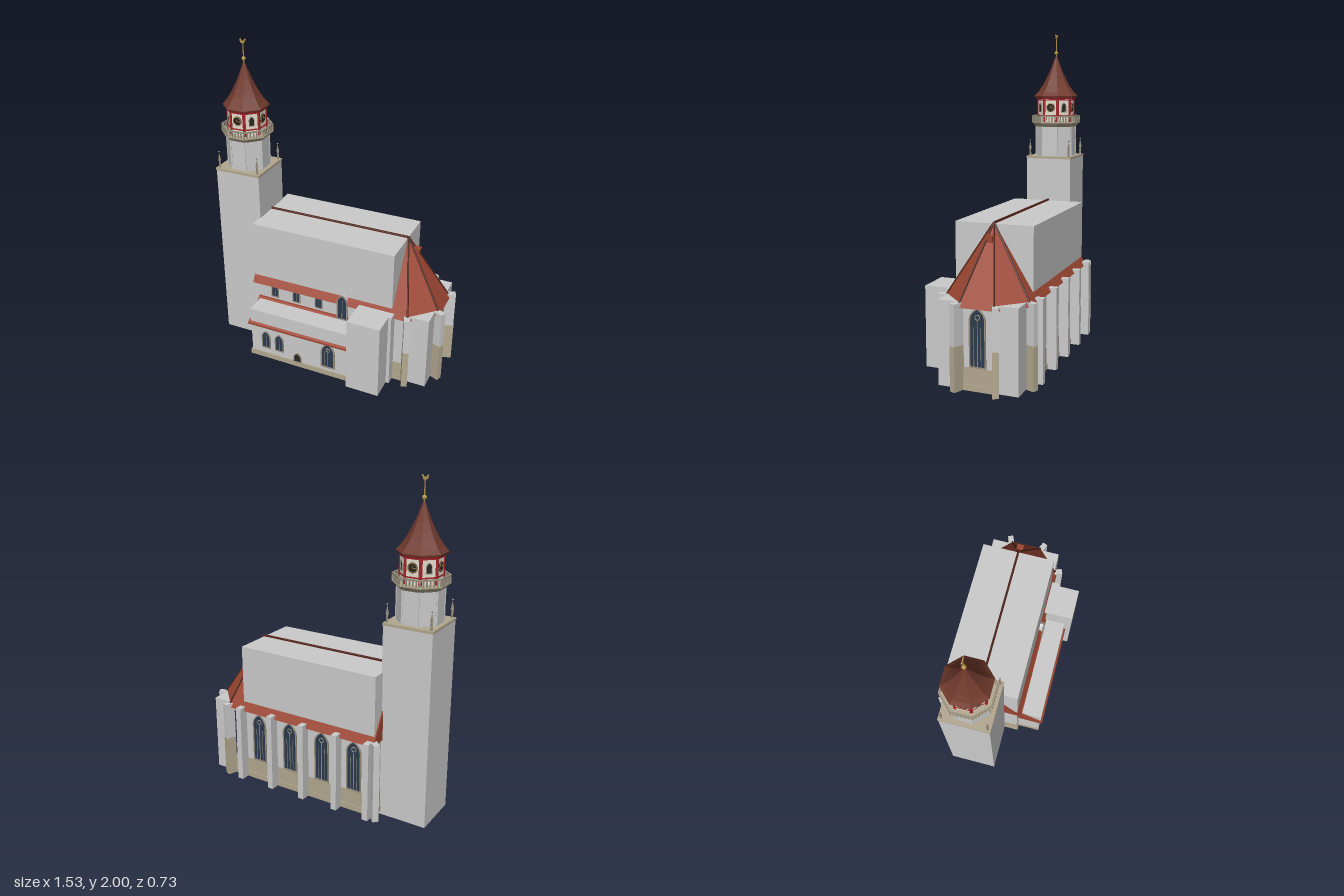
import * as THREE from 'three';

const GREY = 0xcccccc, TAN = 0xb3a890, RED = 0x9c4632, BROWN = 0x4f2219, GLASS = 0x2b3a4e,
  FRAME = 0x98907e, SPIRE = 0x70392c, TRIM = 0xa3262a, CREAM = 0xe6dfd0, GOLD = 0xb8964a, DARK = 0x2a2622;
const ZC = -0.07, TX = -0.616, OCT = Math.cos(Math.PI / 8);

const mats = {};
const mat = (color) => mats[color] ??= new THREE.MeshStandardMaterial({ color, flatShading: true, side: THREE.DoubleSide });

function add(parent, name, geo, color, x = 0, y = 0, z = 0) {
  const m = new THREE.Mesh(geo, mat(color));
  m.name = name;
  m.position.set(x, y, z);
  parent.add(m);
  return m;
}
function group(parent, name, x = 0, y = 0, z = 0, ry = 0) {
  const g = new THREE.Group();
  g.name = name;
  g.position.set(x, y, z);
  g.rotation.y = ry;
  parent.add(g);
  return g;
}
// Box given by its limits
const block = (p, name, color, x0, x1, y0, y1, z0, z1) =>
  add(p, name, new THREE.BoxGeometry(x1 - x0, y1 - y0, z1 - z0), color, (x0 + x1) / 2, (y0 + y1) / 2, (z0 + z1) / 2);

// Prism standing on a ground plan of [x, z] points
function plan(p, name, color, pts, y0, y1) {
  const s = new THREE.Shape(pts.map(([x, z]) => new THREE.Vector2(x, -z)));
  const g = new THREE.ExtrudeGeometry(s, { depth: y1 - y0, bevelEnabled: false }).rotateX(-Math.PI / 2);
  return add(p, name, g, color, 0, y0, 0);
}
// Prism along x with a [z, y] section
function alongX(p, name, color, pts, x0, x1) {
  const s = new THREE.Shape(pts.map(([z, y]) => new THREE.Vector2(-z, y)));
  const g = new THREE.ExtrudeGeometry(s, { depth: x1 - x0, bevelEnabled: false }).rotateY(Math.PI / 2);
  return add(p, name, g, color, x0, 0, 0);
}
// Round bar between two points
function bar(p, name, color, a, b, r) {
  const A = new THREE.Vector3(...a), B = new THREE.Vector3(...b);
  return add(p, name, new THREE.TubeGeometry(new THREE.LineCurve3(A, B), 1, r, 6), color);
}
// Pointed arch outline standing on y = 0
function arch(w, h, Type = THREE.Shape, grow = 0) {
  const a = w / 2 + grow, top = h + grow, spring = h - w * 0.8;
  const s = new Type();
  s.moveTo(-a, -grow);
  s.lineTo(a, -grow);
  s.lineTo(a, spring);
  s.quadraticCurveTo(a, spring + (top - spring) * 0.6, 0, top);
  s.quadraticCurveTo(-a, spring + (top - spring) * 0.6, -a, spring);
  return s;
}
const slab = (s, depth) => new THREE.ExtrudeGeometry(s, { depth, bevelEnabled: false, curveSegments: 6 });

// Gothic window facing its own +z
function gothicWindow(p, name, x, y, z, ry, w, h, tracery = true, pane = GLASS) {
  const g = group(p, name, x, y, z, ry), t = Math.min(0.008, w * 0.12);
  add(g, 'pane', slab(arch(w, h), 0.003), pane);
  const rim = arch(w, h, THREE.Shape, t);
  rim.holes.push(arch(w, h, THREE.Path));
  add(g, 'frame', slab(rim, 0.007), FRAME);
  if (!tracery) return;
  add(g, 'mullion', new THREE.BoxGeometry(w * 0.05, h * 0.8, 0.005), FRAME, 0, h * 0.4, 0.003);
  if (w > 0.065) {
    add(g, 'rose', new THREE.TorusGeometry(w * 0.17, w * 0.035, 4, 12), FRAME, 0, h - w * 0.55, 0.004);
    for (const sx of [-1, 1]) add(g, 'lancet', new THREE.BoxGeometry(w * 0.03, h * 0.68, 0.004), FRAME, sx * w * 0.25, h * 0.34, 0.003);
  }
}

function buildNave(root) {
  const g = group(root, 'nave');
  const outline = (e) => [[-0.47 - e, 0.166 + e], [0.555, 0.166 + e], [0.7 + e, 0.035], [0.7 + e, -0.175], [0.555, -0.305 - e], [-0.47 - e, -0.305 - e]];
  plan(g, 'plinth', TAN, outline(0.008), 0.025, 0.06);
  plan(g, 'lowerWall', TAN, outline(0.003), 0.06, 0.155);
  plan(g, 'upperWall', GREY, outline(0), 0.155, 0.505);
  // Main roof: tiled gable with the large block enclosing it
  alongX(g, 'mainRoof', RED, [[0.188, 0.49], [ZC, 0.918], [-0.332, 0.49]], -0.48, 0.47);
  block(g, 'roofBlock', GREY, -0.472, 0.467, 0.543, 0.909, -0.303, 0.167);
  bar(g, 'ridge', BROWN, [-0.48, 0.915, ZC], [0.47, 0.915, ZC], 0.007);
  // Polygonal choir roof with hips
  const apex = [0.468, 0.918, ZC];
  const eave = [[0.468, 0.188], [0.575, 0.188], [0.727, 0.037], [0.727, -0.177], [0.575, -0.332], [0.468, -0.332]].map(([x, z]) => [x, 0.49, z]);
  const tri = [];
  for (let i = 0; i < 5; i++) tri.push(...eave[i], ...eave[i + 1], ...apex);
  for (let i = 1; i < 5; i++) tri.push(...eave[0], ...eave[i + 1], ...eave[i]);
  const roof = new THREE.BufferGeometry();
  roof.setAttribute('position', new THREE.Float32BufferAttribute(tri, 3));
  roof.computeVertexNormals();
  add(g, 'choirRoof', roof, RED);
  eave.slice(1, 5).forEach((e) => bar(g, 'hip', BROWN, apex, e, 0.006));
  block(g, 'roofHatch', RED, 0.5, 0.543, 0.815, 0.845, ZC - 0.018, ZC + 0.012);
  block(g, 'hatchRoof', RED, 0.5, 0.55, 0.845, 0.855, ZC - 0.024, ZC + 0.018);
  // Blocks around the slanted choir walls
  block(g, 'choirBlock', GREY, 0.556, 0.7, 0.028, 0.515, 0.037, 0.167);
  block(g, 'choirBlock', GREY, 0.556, 0.7, 0.028, 0.515, -0.305, -0.175);
  // Windows of the back wall, choir end and clerestory
  for (const x of [-0.34, -0.117, 0.115, 0.347]) gothicWindow(g, 'backWindow', x, 0.165, -0.305, Math.PI, 0.085, 0.31);
  gothicWindow(g, 'backWindow', 0.52, 0.165, -0.305, Math.PI, 0.06, 0.31);
  gothicWindow(g, 'choirWindow', 0.7, 0.165, ZC, Math.PI / 2, 0.083, 0.32);
  for (const x of [-0.33, -0.177, -0.02]) gothicWindow(g, 'clerestoryWindow', x, 0.412, 0.167, 0, 0.042, 0.085);
  gothicWindow(g, 'dormerWindow', 0.15, 0.39, 0.187, 0, 0.058, 0.165);
  add(g, 'dormer', slab(arch(0.06, 0.175), 0.06), GREY, 0.15, 0.39, 0.126);
}

function buildButtresses(root) {
  const g = group(root, 'buttresses');
  // x, z at the wall, turn about y (0 faces the front)
  const buttress = (x, z, ry, lower) => {
    const b = group(g, 'buttress', x, 0, z, ry);
    block(b, 'lowerPier', lower, -0.0185, 0.0185, 0.025, 0.28, -0.03, 0.062);
    block(b, 'upperPier', GREY, -0.018, 0.018, 0.28, 0.515, -0.03, 0.06);
  };
  for (const x of [-0.45, -0.235, 0, 0.231, 0.467]) buttress(x, -0.305, Math.PI, GREY);
  buttress(-0.47, -0.305, Math.PI * 1.25, GREY);
  buttress(0.467, 0.166, 0, GREY);
  for (const s of [1, -1]) {
    const turn = (a) => (s > 0 ? a : Math.PI - a);
    buttress(0.559, ZC + s * 0.232, turn(Math.PI / 8), TAN);
    buttress(0.7, ZC + s * 0.103, turn(Math.PI * 3 / 8), TAN);
  }
}

function buildAisle(root) {
  const g = group(root, 'sideAisle');
  block(g, 'aisleWall', GREY, -0.435, 0.255, 0.06, 0.285, 0.15, 0.31);
  block(g, 'aislePlinth', TAN, -0.443, 0.255, 0.025, 0.06, 0.15, 0.318);
  alongX(g, 'aisleRoof', RED, [[0.16, 0.27], [0.335, 0.27], [0.335, 0.282], [0.18, 0.39], [0.16, 0.39]], -0.445, 0.255);
  block(g, 'aisleRoofBlock', GREY, -0.432, 0.255, 0.283, 0.382, 0.17, 0.322);
  for (const x of [-0.33, -0.235]) gothicWindow(g, 'aisleWindow', x, 0.105, 0.31, 0, 0.05, 0.118);
  gothicWindow(g, 'largeAisleWindow', 0.108, 0.09, 0.31, 0, 0.078, 0.17);
  gothicWindow(g, 'door', -0.105, 0.058, 0.312, 0, 0.045, 0.065, false, DARK);
  block(g, 'sacristy', GREY, 0.255, 0.466, 0.025, 0.515, 0.15, 0.366);
}

function buildTower(root) {
  const g = group(root, 'tower', TX, 0, ZC);
  const octagon = (name, color, flat0, flat1, y0, y1) => // flat0 and flat1: bottom and top half widths
    add(g, name, new THREE.CylinderGeometry(flat1 / OCT, flat0 / OCT, y1 - y0, 8).rotateY(Math.PI / 8), color, 0, (y0 + y1) / 2, 0);
  block(g, 'shaft', GREY, -0.15, 0.15, 0, 1.19, -0.15, 0.15);
  block(g, 'cornice', TAN, -0.153, 0.153, 1.187, 1.202, -0.153, 0.153);
  // Corner pinnacles
  for (const sx of [-1, 1]) for (const sz of [-1, 1]) {
    const p = group(g, 'pinnacle', sx * 0.134, 1.2, sz * 0.134);
    add(p, 'pinnacleShaft', new THREE.CylinderGeometry(0.006, 0.008, 0.05, 4), FRAME, 0, 0.025, 0);
    add(p, 'pinnacleSpire', new THREE.ConeGeometry(0.011, 0.055, 4), FRAME, 0, 0.077, 0);
    add(p, 'finial', new THREE.OctahedronGeometry(0.007), FRAME, 0, 0.107, 0);
  }
  octagon('octagonShaft', GREY, 0.125, 0.125, 1.2, 1.405);
  octagon('corbel', TAN, 0.126, 0.146, 1.395, 1.422);
  octagon('balconyFloor', TAN, 0.15, 0.15, 1.42, 1.428);
  octagon('lantern', CREAM, 0.112, 0.112, 1.428, 1.59);
  octagon('lanternEave', TRIM, 0.122, 0.128, 1.577, 1.592);
  // Eight sides: pilaster strips, railing, red timber frame, clocks and windows
  for (let i = 0; i < 8; i++) {
    const side = group(g, 'towerSide', 0, 0, 0, (i * Math.PI) / 4);
    const half = (r) => r * Math.tan(Math.PI / 8);
    block(side, 'rail', FRAME, -half(0.15), half(0.15), 1.461, 1.47, 0.14, 0.15);
    for (let k = 0; k < 7; k++) {
      const x = (k / 6 - 0.5) * 2 * half(0.144);
      block(side, 'baluster', FRAME, x - 0.0035, x + 0.0035, 1.428, 1.462, 0.142, 0.149);
    }
    for (const s of [-1, 1]) {
      const x = s * (half(0.112) - 0.004);
      block(side, 'post', TRIM, x - 0.005, x + 0.005, 1.428, 1.585, 0.108, 0.116);
      const e = s * (half(0.125) - 0.004);
      block(side, 'cornerStrip', GREY, e - 0.004, e + 0.004, 1.2, 1.4, 0.12, 0.128);
    }
    for (const y of [1.465, 1.568]) block(side, 'beam', TRIM, -0.046, 0.046, y, y + 0.008, 0.108, 0.115);
    if (i % 2 === 0) {
      const c = group(side, 'clock', 0, 1.522, 0.114);
      add(c, 'dial', new THREE.CylinderGeometry(0.029, 0.029, 0.006, 20).rotateX(Math.PI / 2), DARK);
      add(c, 'dialRing', new THREE.TorusGeometry(0.026, 0.002, 4, 20), GOLD, 0, 0, 0.003);
      block(c, 'hourHand', GOLD, -0.0015, 0.0015, 0, 0.014, 0.003, 0.005);
      block(c, 'minuteHand', GOLD, 0, 0.02, -0.0015, 0.0015, 0.003, 0.005);
    } else {
      gothicWindow(side, 'lanternWindow', 0, 1.495, 0.112, 0, 0.028, 0.055, false, DARK);
    }
  }
  // Concave eight-sided spire
  const profile = [[0, 1.588], [0.132, 1.588], [0.134, 1.597], [0.113, 1.62], [0.087, 1.66], [0.063, 1.707], [0.042, 1.755], [0.022, 1.81], [0.005, 1.857], [0, 1.857]];
  add(g, 'spire', new THREE.LatheGeometry(profile.map(([r, y]) => new THREE.Vector2(r / OCT, y)), 8).rotateY(Math.PI / 8), SPIRE);
  // Weather vane
  add(g, 'vaneRod', new THREE.CylinderGeometry(0.003, 0.004, 0.125, 6), GOLD, 0, 1.91, 0);
  add(g, 'vaneBall', new THREE.SphereGeometry(0.013, 12, 8), GOLD, 0, 1.88, 0);
  const bird = [[0, 0], [0.01, 0.004], [0.016, 0.02], [0.022, 0.022], [0.014, 0.03], [0.006, 0.018], [-0.008, 0.016], [-0.014, 0.03], [-0.022, 0.024], [-0.016, 0.006]];
  add(g, 'vaneBird', slab(new THREE.Shape(bird.map(([x, y]) => new THREE.Vector2(x, y))), 0.005), GOLD, 0, 1.97, -0.0025);
}

export function createModel() {
  const root = new THREE.Group();
  root.name = 'church';
  buildNave(root);
  buildButtresses(root);
  buildAisle(root);
  buildTower(root);
  return root;
}
